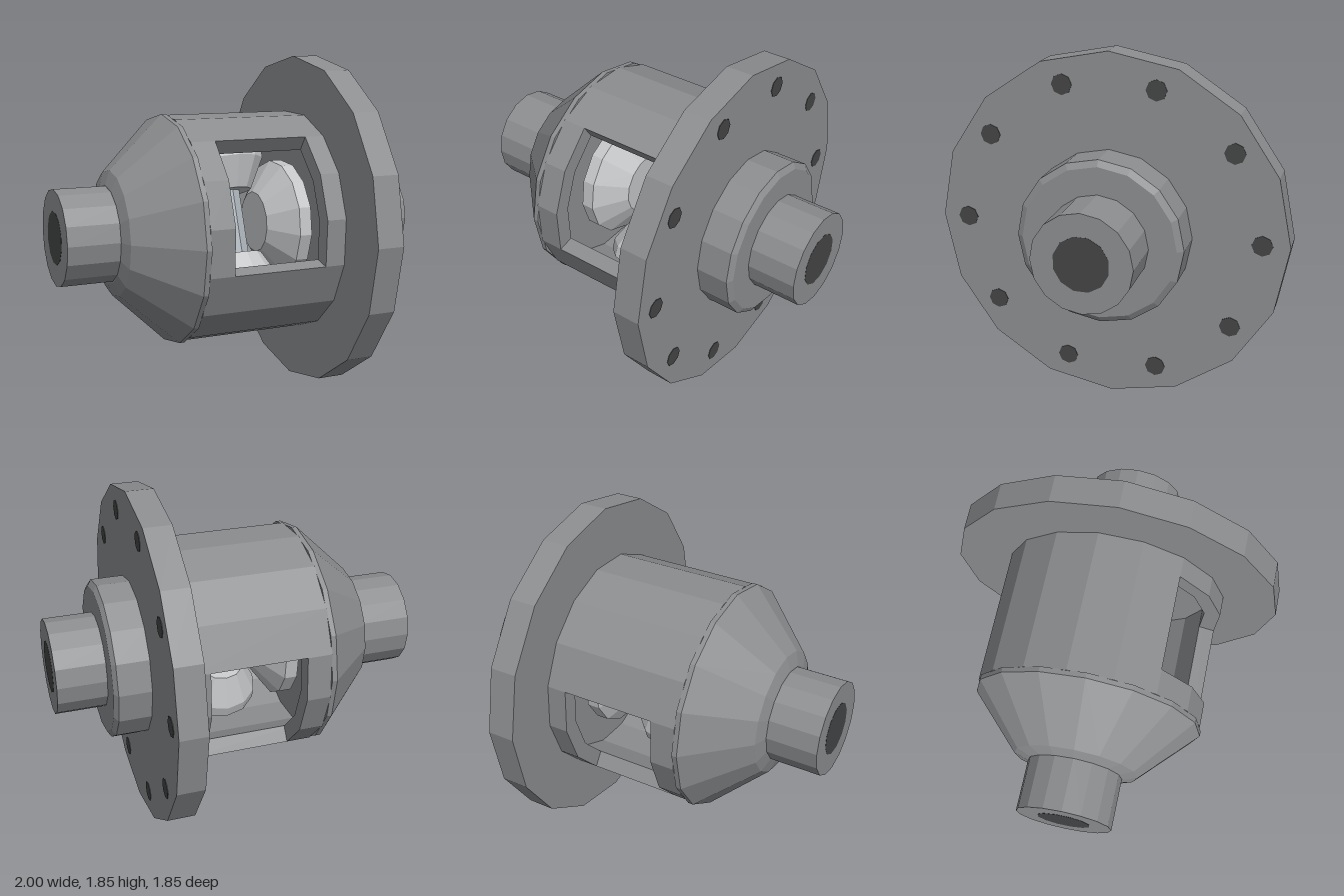
import * as THREE from 'three';

const AXIS_Y = 0.925;   // height of the main shaft axis
const TILT = 0.36;      // roll of the windows and gear set about the shaft
const HALF_WINDOW = 0.6; // half opening angle of each window

const mat = (name, color) => {
  const m = new THREE.MeshStandardMaterial({ color });
  m.name = name;
  return m;
};

export function createModel() {
  const steel = mat('casing steel', 0x8b8d8f);
  const bright = mat('gear steel', 0xc2c4c6);
  const pinSteel = mat('pin steel', 0xa9b1b8);
  const dark = mat('hole dark', 0x444546);

  const model = new THREE.Group();
  model.name = 'differential';
  const body = new THREE.Group();
  body.name = 'body';
  body.position.y = AXIS_Y;
  model.add(body);

  const add = (parent, name, geometry, material) => {
    const mesh = new THREE.Mesh(geometry, material);
    mesh.name = name;
    parent.add(mesh);
    return mesh;
  };

  // faceted solid of revolution about y from [radius, height] pairs
  const turned = (profile, sides) => {
    const g = new THREE.LatheGeometry(profile.map(([r, h]) => new THREE.Vector2(r, h)), sides).toNonIndexed();
    g.computeVertexNormals();
    return g;
  };
  // the same about the x axis
  const turnedX = (profile, sides = 16) => turned(profile, sides).rotateZ(-Math.PI / 2);

  // curved shell plate, angles measured from +z towards +y, extruded along x
  const shell = (from, to, segments, x0, x1) => {
    const pts = [];
    const ring = (r, i) => {
      const a = from + (to - from) * i / segments;
      pts.push(new THREE.Vector2(-r * Math.cos(a), r * Math.sin(a)));
    };
    for (let i = 0; i <= segments; i++) ring(0.62, i);
    for (let i = segments; i >= 0; i--) ring(0.53, i);
    return new THREE.ExtrudeGeometry(new THREE.Shape(pts), { depth: x1 - x0, bevelEnabled: false })
      .rotateY(Math.PI / 2).translate(x0, 0, 0);
  };

  // outer casing
  add(body, 'leftTube', turnedX([[0, 0.7], [0.258, 0.7], [0.258, 0.999], [0, 0.999]]), steel);
  add(body, 'rightTube', turnedX([[0, -0.999], [0.258, -0.999], [0.258, -0.7], [0, -0.7]]), steel);
  add(body, 'hub', turnedX([[0, 0.53], [0.432, 0.53], [0.432, 0.715], [0.4, 0.735], [0, 0.735]]), steel);
  add(body, 'flange', turnedX([[0, 0.39], [0.925, 0.39], [0.925, 0.54], [0, 0.54]]), steel);
  add(body, 'coneHousing', turnedX([[0, -0.72], [0.265, -0.72], [0.34, -0.695], [0.625, -0.4], [0.625, -0.372], [0, -0.372]]), steel);

  // drum: two long plates, with a window frame between them front and back
  for (const turn of [0, Math.PI]) {
    const c = TILT + turn;
    const side = turn ? 'back' : 'front';
    add(body, side + 'DrumPlate', shell(c + HALF_WINDOW, c + Math.PI - HALF_WINDOW, 5, -0.375, 0.395), steel);
    add(body, side + 'WindowLeftFrame', shell(c - HALF_WINDOW, c + HALF_WINDOW, 3, 0.28, 0.395), steel);
    add(body, side + 'WindowRightFrame', shell(c - HALF_WINDOW, c + HALF_WINDOW, 3, -0.375, -0.24), steel);
  }

  // shaft bores
  for (const s of [-1, 1]) {
    const bore = new THREE.CylinderGeometry(0.143, 0.143, 0.008, 12).rotateY(Math.PI / 12).rotateZ(Math.PI / 2);
    add(body, s > 0 ? 'leftBore' : 'rightBore', bore, dark).position.x = s * 0.996;
  }

  // bolt holes on the outer flange face
  for (let i = 0; i < 10; i++) {
    const a = i * Math.PI / 5;
    const hole = add(body, 'boltHole', new THREE.CylinderGeometry(0.054, 0.054, 0.008, 8).rotateZ(Math.PI / 2), dark);
    hole.position.set(0.539, 0.785 * Math.sin(a), 0.785 * Math.cos(a));
  }

  // bevel gears inside, square to the windows
  const gears = new THREE.Group();
  gears.name = 'gearSet';
  gears.position.x = 0.02;
  gears.rotation.x = -TILT;
  body.add(gears);
  add(gears, 'crossPin', new THREE.CylinderGeometry(0.066, 0.066, 1.1, 8).toNonIndexed(), pinSteel)
    .geometry.computeVertexNormals();
  for (const s of [-1, 1]) {
    const pinion = add(gears, s > 0 ? 'upperPinion' : 'lowerPinion',
      turned([[0, 0.18], [0.13, 0.18], [0.22, 0.345], [0.22, 0.41], [0, 0.44]], 12), bright);
    if (s < 0) pinion.rotation.x = Math.PI;
    const sideGear = add(gears, s > 0 ? 'leftSideGear' : 'rightSideGear',
      turned([[0, 0.13], [0.17, 0.13], [0.34, 0.25], [0.34, 0.32], [0.2, 0.37], [0, 0.37]], 14), bright);
    sideGear.rotation.z = -s * Math.PI / 2;
  }

  return model;
}
